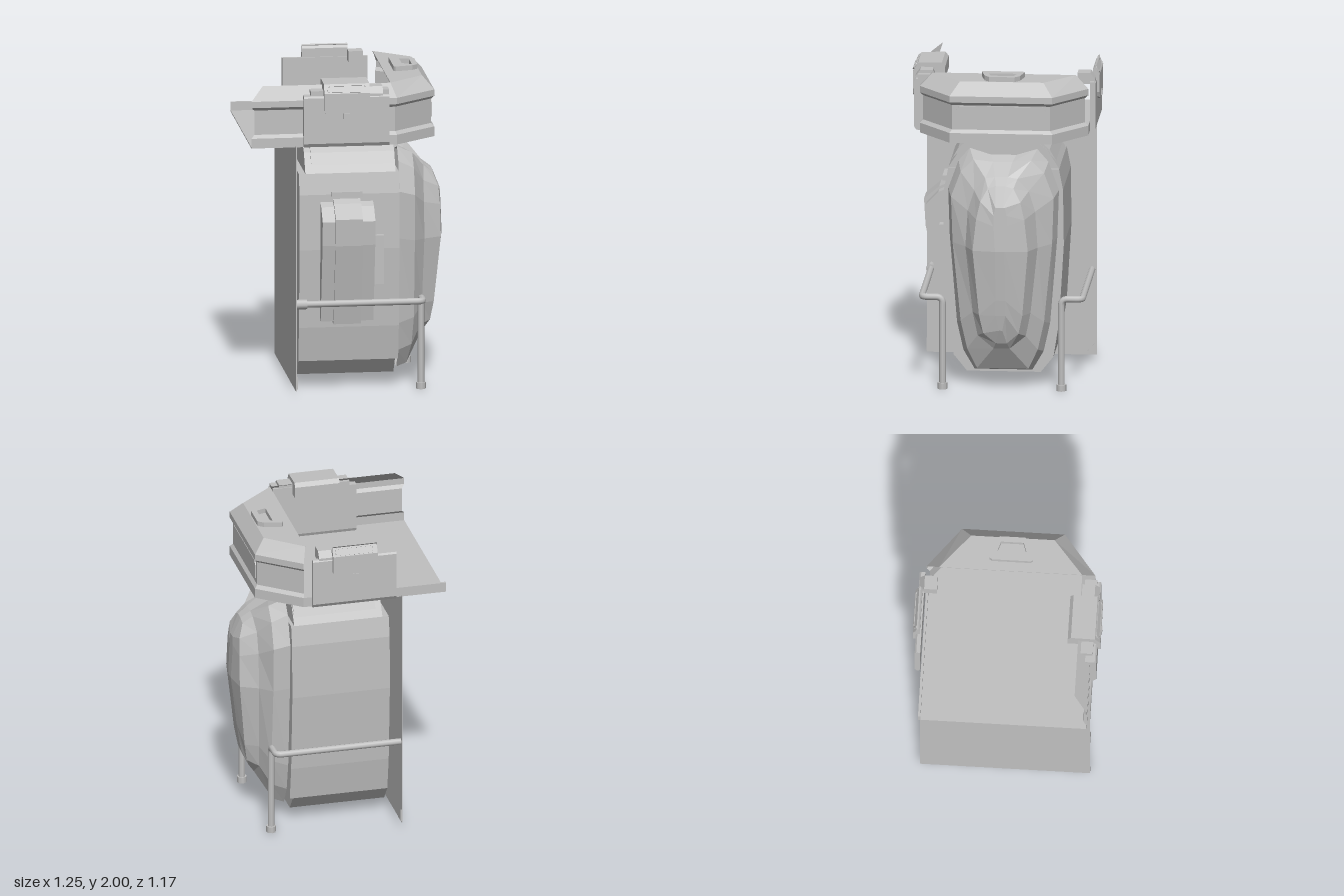
import * as THREE from 'three';

export function createModel() {
  const model = new THREE.Group();
  const grey = new THREE.MeshStandardMaterial({ color: 0xc0c0c0, side: THREE.DoubleSide });
  grey.name = 'plain grey';

  const add = (name, geometry, parent = model) => {
    const mesh = new THREE.Mesh(geometry, grey);
    mesh.name = name;
    parent.add(mesh);
    return mesh;
  };
  // Box given by its limits on each axis
  const box = (name, x0, x1, y0, y1, z0, z1, parent) => add(name,
    new THREE.BoxGeometry(x1 - x0, y1 - y0, z1 - z0)
      .translate((x0 + x1) / 2, (y0 + y1) / 2, (z0 + z1) / 2), parent);
  const shapeOf = (pts) => new THREE.Shape(pts.map(([a, b]) => new THREE.Vector2(a, b)));
  // Profile of [z, y] points swept along x
  const alongX = (name, pts, x0, x1, parent) => add(name,
    new THREE.ExtrudeGeometry(shapeOf(pts.map(([z, y]) => [-z, y])), { depth: x1 - x0, bevelEnabled: false })
      .rotateY(Math.PI / 2).translate(x0, 0, 0), parent);
  // Outline of [x, z] points raised between two heights
  const plan = (name, pts, y0, y1, hole) => {
    const shape = shapeOf(pts.map(([x, z]) => [x, -z]));
    if (hole) shape.holes.push(shapeOf(hole.map(([x, z]) => [x, -z])));
    return add(name, new THREE.ExtrudeGeometry(shape, { depth: y1 - y0, bevelEnabled: false })
      .rotateX(-Math.PI / 2).translate(0, y0, 0));
  };
  // Faceted skin through rows of [x, y, z] points
  const skin = (name, rows, closed) => {
    const pos = [];
    for (let i = 0; i < rows.length - 1; i++) {
      const n = rows[i].length;
      for (let j = 0; j < (closed ? n : n - 1); j++) {
        const k = (j + 1) % n;
        const [a, b, c, d] = [rows[i][j], rows[i][k], rows[i + 1][k], rows[i + 1][j]];
        pos.push(...a, ...b, ...c, ...a, ...c, ...d);
      }
    }
    const g = new THREE.BufferGeometry();
    g.setAttribute('position', new THREE.Float32BufferAttribute(pos, 3));
    g.computeVertexNormals();
    return add(name, g);
  };
  const mirrored = (half) => [...half, ...half.map(([z, y]) => [-z, y]).reverse()];

  // Upright back plate with small corner gussets
  box('backPlate', -0.353, -0.347, 0.04, 1.6, -0.53, 0.53);
  for (const s of [1, -1]) {
    alongX('plateGusset', [[s * 0.53, 0.05], [s * 0.53, 0.13], [s * 0.46, 0.05]], -0.347, -0.34);
  }

  // Rounded main body, with a slightly larger middle band
  const half = [[0.2, 1.55], [0.27, 1.5], [0.345, 1.38], [0.37, 1.25],
    [0.375, 0.9], [0.345, 0.4], [0.31, 0.18], [0.23, 0.08]];
  alongX('body', mirrored(half), -0.27, 0.295);
  alongX('bodyBand', mirrored(half.slice(2, 7)), -0.31, 0.315);
  alongX('bodyFoot', mirrored(half.slice(6)), -0.31, 0.295);
  for (const s of [1, -1]) {
    alongX('topTrim', [[s * 0.2, 1.55], [s * 0.215, 1.56], [s * 0.285, 1.5], [s * 0.325, 1.43], [s * 0.27, 1.49]], -0.23, 0.29);
  }

  // Bulging end shell, lofted outwards along x; each half row is [x, y, z]
  const shellRows = [
    [[0.32, 1.47, 0.08], [0.32, 1.51, 0.21], [0.32, 1.43, 0.28], [0.32, 1.25, 0.345],
      [0.32, 0.95, 0.335], [0.32, 0.4, 0.29], [0.32, 0.22, 0.25], [0.32, 0.1, 0.18]],
    [[0.39, 1.44, 0.06], [0.42, 1.46, 0.18], [0.42, 1.38, 0.26], [0.42, 1.22, 0.32],
      [0.42, 0.93, 0.31], [0.42, 0.43, 0.26], [0.41, 0.25, 0.22], [0.385, 0.12, 0.16]],
    [[0.5, 1.37, 0.04], [0.5, 1.36, 0.1], [0.49, 1.28, 0.17], [0.49, 1.15, 0.21],
      [0.49, 0.92, 0.225], [0.48, 0.5, 0.18], [0.47, 0.35, 0.15], [0.48, 0.27, 0.05]],
    [[0.56, 1.325, 0.03], [0.56, 1.31, 0.08], [0.59, 1.23, 0.125], [0.597, 1.12, 0.15],
      [0.6, 0.92, 0.172], [0.56, 0.5, 0.135], [0.54, 0.38, 0.11], [0.51, 0.31, 0.035]],
    [[0.61, 1.2, 0.02], [0.61, 1.2, 0.03], [0.612, 1.15, 0.04], [0.615, 1.08, 0.04],
      [0.622, 0.92, 0.03], [0.585, 0.6, 0.03], [0.57, 0.5, 0.03], [0.55, 0.4, 0.01]],
  ].map((row) => [...row, ...row.map(([x, y, z]) => [x, y, -z]).reverse()]);
  const last = shellRows[shellRows.length - 1];
  shellRows.push(last.map(([x, y]) => [x, y, 0]));
  skin('endShell', shellRows, true);

  // Side panel on the front face: raised core between two lower cheeks
  const panel = (d) => [[0.33, 1.24 - d], [0.42, 1.2 - d], [0.515 - d, 1.12 - d], [0.505 - d, 0.95],
    [0.4 - d / 2, 0.43 + d], [0.33, 0.43 + d]];
  alongX('sidePanelCore', panel(0), -0.1, 0.07);
  alongX('sidePanelCheek', panel(0.018), -0.18, -0.1);
  alongX('sidePanelCheek', panel(0.018), 0.07, 0.15);
  box('sidePanelCap', -0.11, 0.08, 1.24, 1.27, 0.35, 0.4);
  box('sidePanelGrip', 0.15, 0.215, 0.68, 0.99, 0.35, 0.41);

  // Bent support rails, one on each side
  for (const s of [1, -1]) {
    const v = (x, y, z) => new THREE.Vector3(x, y, s * z);
    const path = new THREE.CurvePath();
    path.add(new THREE.LineCurve3(v(-0.35, 0.585, 0.5), v(0.41, 0.585, 0.5)));
    path.add(new THREE.QuadraticBezierCurve3(v(0.41, 0.585, 0.5), v(0.45, 0.585, 0.5), v(0.45, 0.585, 0.46)));
    path.add(new THREE.LineCurve3(v(0.45, 0.585, 0.46), v(0.45, 0.585, 0.41)));
    path.add(new THREE.QuadraticBezierCurve3(v(0.45, 0.585, 0.41), v(0.45, 0.585, 0.37), v(0.45, 0.545, 0.37)));
    path.add(new THREE.LineCurve3(v(0.45, 0.545, 0.37), v(0.45, 0.01, 0.37)));
    add('supportRail', new THREE.TubeGeometry(path, 120, 0.021, 8));
    add('railFoot', new THREE.CylinderGeometry(0.031, 0.031, 0.04, 8).translate(0.45, 0.02, s * 0.37));
  }
  add('railCollar', new THREE.CylinderGeometry(0.031, 0.031, 0.07, 8).rotateZ(Math.PI / 2).translate(-0.315, 0.585, 0.5));

  // Tray floor and the low lip along its rear edge
  const outer = [[-0.63, 0.525], [0.28, 0.525], [0.54, 0.32], [0.54, -0.32], [0.28, -0.525]];
  const inner = [[-0.55, 0.445], [0.25, 0.445], [0.47, 0.26], [0.47, -0.26], [0.25, -0.445]];
  plan('trayFloor', [...outer, [-0.63, -0.525]], 1.593, 1.6);
  box('trayLip', -0.63, 0.28, 1.593, 1.655, -0.525, -0.51);

  // Moulded tray wall: rows of height and inset from outer to inner outline
  const wall = [[1.593, 0], [1.655, 0], [1.675, 0.25], [1.83, 0.25], [1.85, 0], [1.89, 0], [1.97, 1]];
  skin('trayWall', wall.map(([y, t]) => outer.map(([x, z], i) => [
    x + (inner[i][0] - x) * t, y, z + (inner[i][1] - z) * t])), false);
  plan('trayTop', inner.slice(1), 1.965, 1.97);
  alongX('wallInset', [[0.28, 1.71], [0.28, 1.8], [0.26, 1.825], [-0.26, 1.825], [-0.28, 1.8], [-0.28, 1.71]], 0.522, 0.53);

  // Pull handle on the tray top
  plan('topHandle', [[0.31, 0.12], [0.32, 0.135], [0.43, 0.11], [0.465, 0.08],
    [0.465, -0.08], [0.43, -0.11], [0.32, -0.135], [0.31, -0.12]], 1.97, 2,
  [[0.37, 0.09], [0.43, 0.07], [0.43, -0.07], [0.37, -0.09]]);

  // Clamp brackets: a full one over the front wall, a shallow one at the rear
  for (const s of [1, -1]) {
    const front = s > 0;
    const clamp = new THREE.Group();
    clamp.name = front ? 'frontClamp' : 'rearClamp';
    model.add(clamp);
    const m = (pts) => pts.map(([z, y]) => [s * z, y]);
    const zBox = (name, x0, x1, y0, y1, z0, z1) =>
      box(name, x0, x1, y0, y1, Math.min(s * z0, s * z1), Math.max(s * z0, s * z1), clamp);
    const zIn = front ? 0.45 : 0.53;
    alongX('clampPlate', m([[zIn, 1.62], [zIn + 0.01, 1.597], [0.55, 1.597], [0.565, 1.62],
      [0.565, 1.91], [0.555, 1.92], [zIn, 1.92]]), -0.305, 0.23, clamp);
    alongX('clampTab', m([[0.45, 1.9], [0.45, 1.97], [0.53, 1.97], [0.56, 1.93], [0.56, 1.9]]), 0.1, 0.19, clamp);
    if (front) zBox('clampShoulder', -0.26, 0.23, 1.9, 1.95, 0.445, 0.54);
    const zTop = front ? 0.38 : 0.54;
    alongX('latchTop', m([[zTop, 1.9], [zTop, 1.975], [zTop + 0.02, 2], [0.55, 1.995],
      [0.582, 1.94], [0.582, 1.9]]), -0.18, 0.105, clamp);
    // Latch face with clipped lower corners
    const face = shapeOf([[-0.18, 1.92], [-0.18, 1.83], [-0.165, 1.795], [-0.13, 1.78],
      [0.055, 1.78], [0.09, 1.795], [0.105, 1.83], [0.105, 1.92]]);
    add('latchFace', new THREE.ExtrudeGeometry(face, { depth: 0.022, bevelEnabled: false })
      .translate(0, 0, front ? 0.56 : -0.582), clamp);
    // Rounded slot frame on the sloping latch edge
    const slot = (w, h) => shapeOf([[-w, -h / 2], [-w + h / 2, -h], [w - h / 2, -h], [w, -h / 2],
      [w, h / 2], [w - h / 2, h], [-w + h / 2, h], [-w, h / 2]]);
    const frame = slot(0.125, 0.025);
    frame.holes.push(slot(0.115, 0.017));
    const mesh = add('latchSlot', new THREE.ExtrudeGeometry(frame, { depth: 0.006, bevelEnabled: false }), clamp);
    mesh.position.set(-0.037, 1.967, s * 0.567);
    mesh.rotation.order = 'YXZ';
    mesh.rotation.set(-0.53, front ? 0 : Math.PI, 0);
    zBox('latchPin', -0.06, -0.02, 1.78, 1.815, 0.58, 0.587);
  }
  return model;
}
